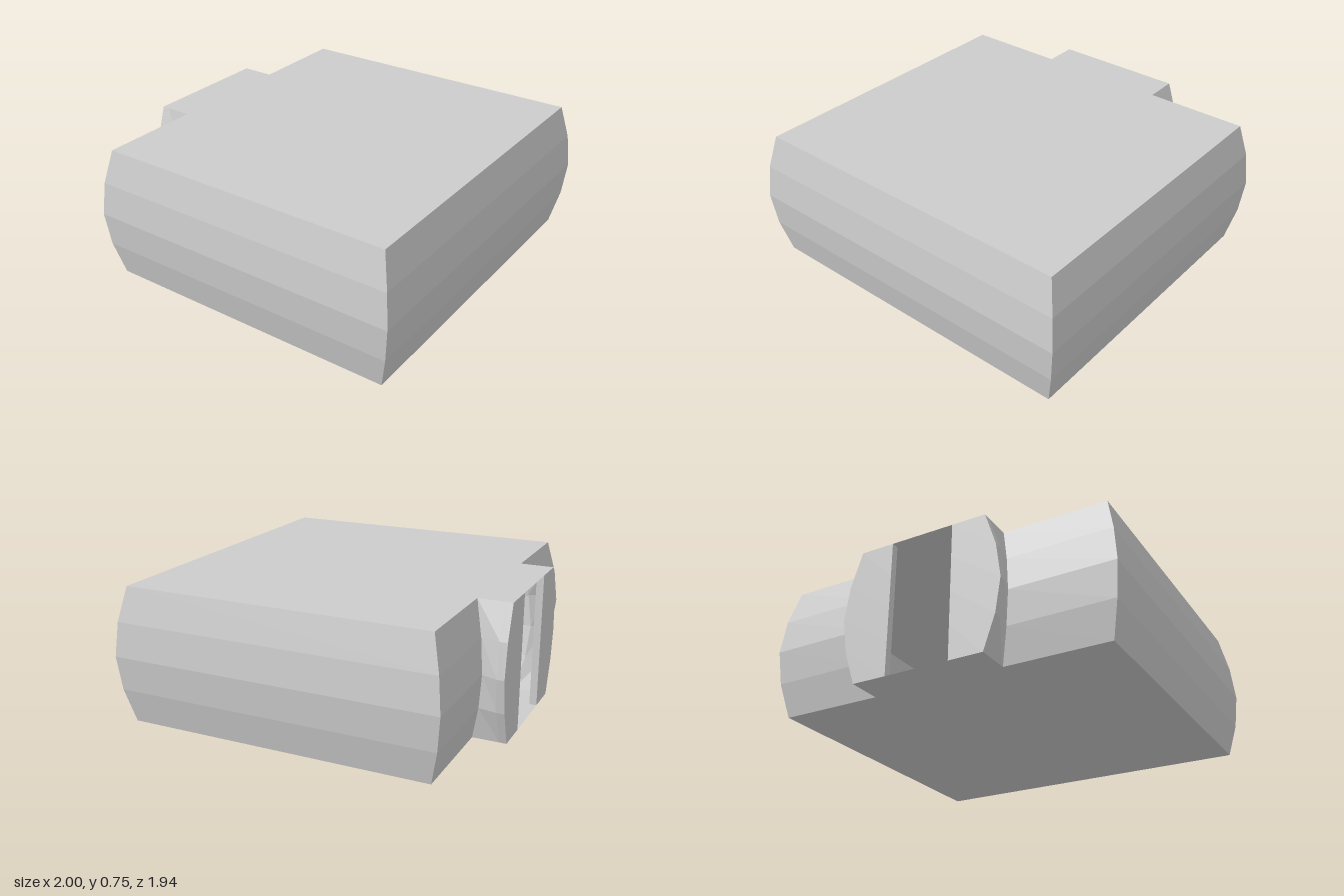
import * as THREE from 'three';

const HEIGHT = 0.75;
// how far the bulging walls draw in at each of the five evenly spaced levels
const INSETS = [0.06, 0.018, 0, 0.018, 0.06];

// Half outline (x > 0) seen from above, from the slot in the rear plate round to the front
function halfOutline(inset) {
  const side = 1 - inset;
  const back = -0.845 + inset;
  const neck = 0.43 - inset;
  const plate = 0.46 - inset * 1.5;
  return [
    [plate, -0.93], [0.18, -0.93], [0.18, -0.97], [plate, -0.97], [plate, -0.93], // rear plate
    [neck, back],                                // neck meets body
    [side, back], [side, 0.968 - inset],         // body corners
  ];
}

function fullOutline(inset) {
  const half = halfOutline(inset);
  return [...half, ...half.map(([x, z]) => [-x, z]).reverse()];
}

// Flat-faceted wall lofted through the levels
function wallGeometry() {
  const rings = INSETS.map((inset, k) =>
    fullOutline(inset).map(([x, z]) => [x, (HEIGHT * k) / (INSETS.length - 1), z]));
  const pos = [];
  for (let k = 0; k < rings.length - 1; k++) {
    for (let i = 0; i < rings[k].length - 1; i++) {
      const a = rings[k][i], b = rings[k][i + 1];
      const c = rings[k + 1][i + 1], d = rings[k + 1][i];
      pos.push(...a, ...d, ...c, ...a, ...c, ...b);
    }
  }
  const geo = new THREE.BufferGeometry();
  geo.setAttribute('position', new THREE.Float32BufferAttribute(pos, 3));
  geo.computeVertexNormals();
  return geo;
}

// Thin flat panel closing the shell at the top (up = 1) or bottom (up = -1)
function panelGeometry(up) {
  const half = halfOutline(INSETS[0]).slice(3);
  const pts = [...half, ...half.map(([x, z]) => [-x, z]).reverse()];
  const shape = new THREE.Shape(pts.map(([x, z]) => new THREE.Vector2(x, -up * z)));
  const geo = new THREE.ShapeGeometry(shape);
  geo.rotateX((-up * Math.PI) / 2);
  geo.translate(0, up > 0 ? HEIGHT : 0, 0);
  return geo;
}

export function createModel() {
  const group = new THREE.Group();
  group.name = 'hollowCasing';
  const material = new THREE.MeshStandardMaterial({
    color: 0xcccccc, flatShading: true, side: THREE.DoubleSide,
  });
  const add = (name, geometry) => {
    const mesh = new THREE.Mesh(geometry, material);
    mesh.name = name;
    group.add(mesh);
  };
  add('wallsAndSlottedNeck', wallGeometry());
  add('topPanel', panelGeometry(1));
  add('bottomPanel', panelGeometry(-1));
  return group;
}
